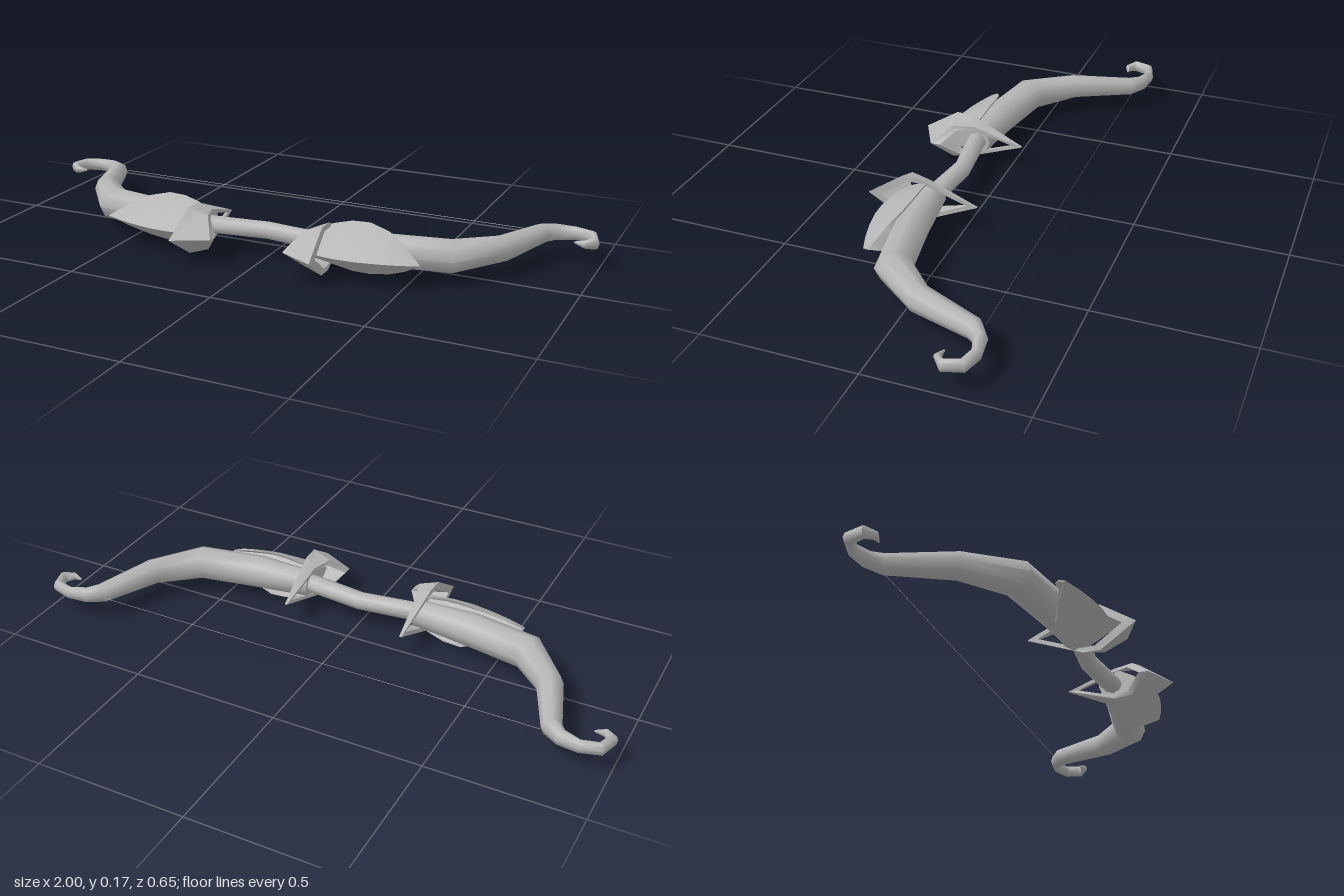
import * as THREE from 'three';
import { toCreasedNormals } from 'three/addons/utils/BufferGeometryUtils.js';

const Y = 0.087; // height of the bow's middle plane

// Skin a list of equal-length rings of [x, y, z]; the loop may close on itself, else its ends are capped.
function loft(rings, loop = false, crease = 1.0) {
  const n = rings[0].length, m = rings.length, idx = [];
  for (let i = 0; i < (loop ? m : m - 1); i++) {
    for (let j = 0; j < n; j++) {
      const a = i * n + j, b = i * n + (j + 1) % n;
      const c = ((i + 1) % m) * n + j, d = ((i + 1) % m) * n + (j + 1) % n;
      idx.push(a, b, d, a, d, c);
    }
  }
  if (!loop) {
    const e = (m - 1) * n;
    for (let j = 1; j < n - 1; j++) idx.push(0, j + 1, j, e, e + j, e + j + 1);
  }
  const p = rings.flat();
  // Turn the faces outward, judged by the signed volume
  let volume = 0;
  const a = new THREE.Vector3(), b = new THREE.Vector3(), c = new THREE.Vector3();
  for (let i = 0; i < idx.length; i += 3) {
    a.set(...p[idx[i]]); b.set(...p[idx[i + 1]]); c.set(...p[idx[i + 2]]);
    volume += a.dot(b.cross(c));
  }
  if (volume < 0) idx.reverse();
  const g = new THREE.BufferGeometry();
  g.setAttribute('position', new THREE.Float32BufferAttribute(p.flat(), 3));
  g.setIndex(idx);
  return toCreasedNormals(g, crease);
}

// Eight-sided oval rings along a path of [x, z, half height, half width]
function tubeRings(path) {
  return path.map(([x, z, ry, rw], i) => {
    const p = path[Math.max(i - 1, 0)], q = path[Math.min(i + 1, path.length - 1)];
    const t = new THREE.Vector2(q[0] - p[0], q[1] - p[1]).normalize();
    return Array.from({ length: 8 }, (_, k) => {
      const u = k * Math.PI / 4, w = Math.cos(u) * rw;
      return [x - t.y * w, Y + Math.sin(u) * ry, z + t.x * w];
    });
  });
}

const mirrored = (rings, s) => rings.map(r => r.map(([x, y, z]) => [x * s, y, z]));

// Recurved limb ending in a small curled hook
const limbPath = [
  [0.2, 0.117, 0.045, 0.044], [0.4, 0.106, 0.056, 0.058], [0.61, 0.068, 0.056, 0.06],
  [0.73, -0.065, 0.044, 0.043], [0.805, -0.262, 0.033, 0.032], [0.845, -0.295, 0.028, 0.022],
  [0.905, -0.309, 0.023, 0.016], [0.965, -0.292, 0.022, 0.017], [0.983, -0.238, 0.021, 0.015],
  [0.955, -0.215, 0.014, 0.011], [0.922, -0.222, 0.003, 0.003],
];

// Leaf-shaped guard: [x, half height, ridge z, edge z]
const guardRings = [
  [0.2, 0.058, 0.235, 0.13], [0.25, 0.072, 0.246, 0.12], [0.3, 0.084, 0.25, 0.114],
  [0.36, 0.086, 0.248, 0.112], [0.43, 0.07, 0.235, 0.126], [0.49, 0.042, 0.219, 0.155],
  [0.552, 0.002, 0.197, 0.192],
].map(([x, h, ridge, edge]) => {
  const outer = [-1, -0.5, 0, 0.5, 1].map(k =>
    [x, Y + k * h, ridge + (edge - ridge) * Math.pow(Math.abs(k), 1.15)]);
  const inner = [0.9, 0, -0.9].map(k =>
    [x, Y + k * h, ridge + (edge - ridge) * Math.abs(k) - 0.012]);
  return [...outer, ...inner];
});

// Pointed band round the limb: [grip-side x, z, height, limb-side x, z, height]
const bandTop = [
  [0.208, -0.04, 0, 0.216, -0.04, 0], [0.192, 0.13, 0.056, 0.234, 0.15, 0.079],
  [0.17, 0.2, 0.058, 0.236, 0.207, 0.079], [0.127, 0.265, 0, 0.245, 0.325, 0],
];
const bandLoop = [...bandTop, ...[bandTop[2], bandTop[1]].map(([a, b, h, c, d, k]) => [a, b, -h, c, d, -k])];
const bandRings = bandLoop.map(([ax, az, ah, bx, bz, bh]) => {
  const inward = z => 0.12 + (z - 0.12) * 0.78;
  return [[ax, Y + ah, az], [bx, Y + bh, bz],
    [bx, Y + bh * 0.78, inward(bz)], [ax, Y + ah * 0.78, inward(az)]];
});

export function createModel() {
  const model = new THREE.Group();
  model.name = 'bow';
  const grey = new THREE.MeshStandardMaterial({ color: 0xb4b4b4 });
  grey.name = 'grey';
  grey.side = THREE.DoubleSide;
  const add = (name, geometry) => {
    const mesh = new THREE.Mesh(geometry, grey);
    mesh.name = name;
    model.add(mesh);
    return mesh;
  };

  // Slim central grip, bent slightly at the middle
  add('grip', loft(tubeRings([
    [-0.24, 0.126, 0.031, 0.034], [0, 0.096, 0.03, 0.031], [0.24, 0.126, 0.031, 0.034],
  ])));

  // Paired parts on both sides
  for (const [side, s] of [['left', 1], ['right', -1]]) {
    add(side + 'Limb', loft(mirrored(tubeRings(limbPath), s)));
    add(side + 'Guard', loft(mirrored(guardRings, s)));
    add(side + 'Band', loft(mirrored(bandRings, s), true, 0.6));
  }

  // Hair-thin string between the limb ends
  add('string', new THREE.PlaneGeometry(1.56, 0.002)).position.set(0, Y, -0.285);
  return model;
}
